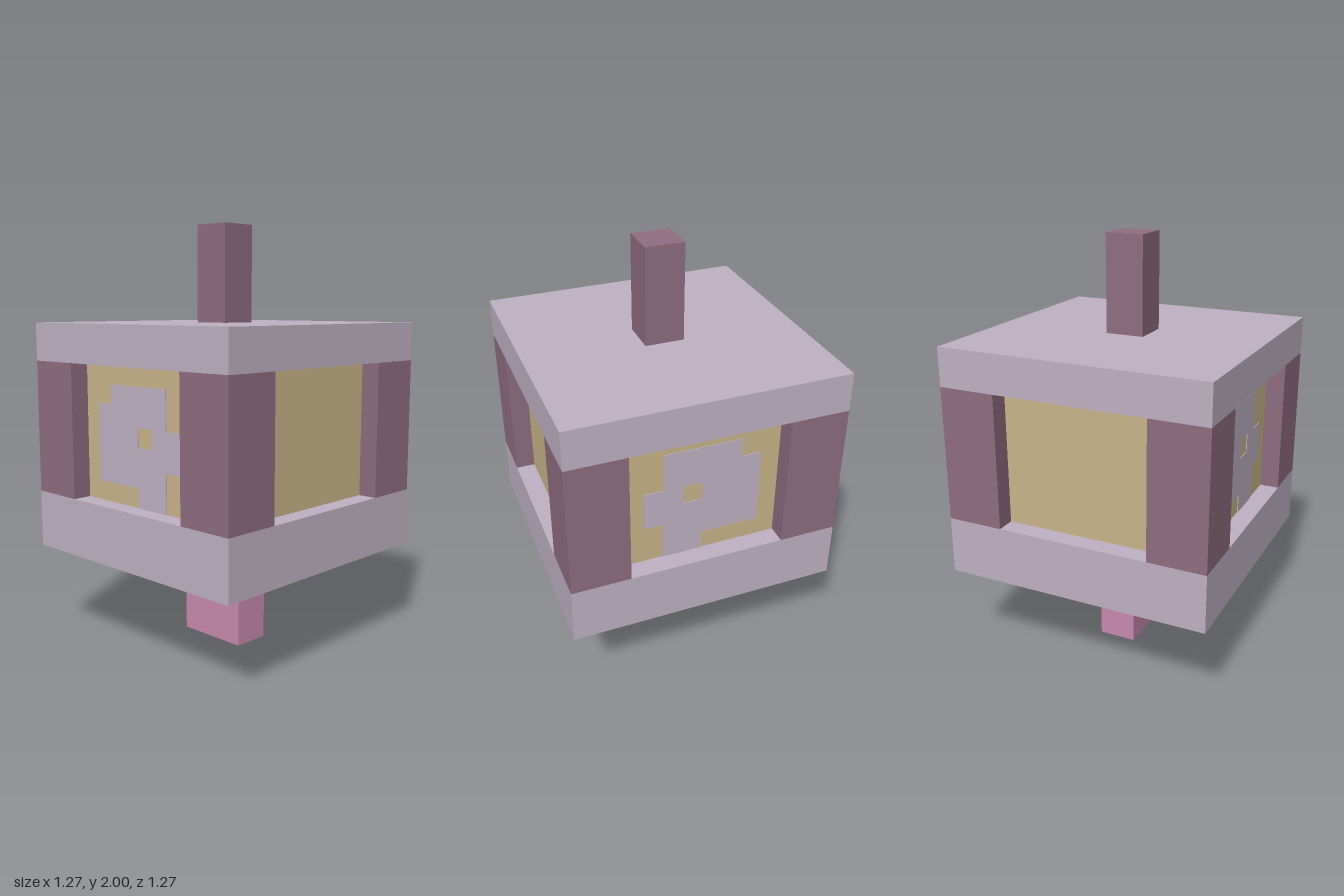
import * as THREE from 'three';

// All sizes below are in blocks: the lantern is 22 blocks tall.
const U = 2 / 22;

const material = (name, color) => {
  const m = new THREE.MeshStandardMaterial({ color });
  m.name = name;
  return m;
};

export function createModel() {
  const lilac = material('pale lilac', 0xbfb1c2);
  const plum = material('dusty plum', 0x8f6d80);
  const pink = material('rose pink', 0xc88aaf);
  const sand = material('warm sand', 0xc9b48a);

  const model = new THREE.Group();
  model.name = 'lantern';

  // Box from its width, depth, bottom and top, centred on (x, z)
  const addBox = (name, mat, w, d, y0, y1, x = 0, z = 0) => {
    const mesh = new THREE.Mesh(new THREE.BoxGeometry(w * U, (y1 - y0) * U, d * U), mat);
    mesh.position.set(x * U, ((y0 + y1) / 2) * U, z * U);
    mesh.name = name;
    model.add(mesh);
  };

  addBox('foot', pink, 4, 2, 0, 5);
  addBox('baseSlab', lilac, 14, 14, 5, 8);
  addBox('recessedPanels', sand, 12, 12, 8, 15);
  addBox('topSlab', lilac, 14, 14, 15, 17);
  addBox('handle', plum, 2, 2, 17, 22);

  // Four corner posts
  for (const sx of [-1, 1]) {
    for (const sz of [-1, 1]) {
      addBox('cornerPost', plum, 3, 3, 8, 15, sx * 5.5, sz * 5.5);
    }
  }

  // Stepped emblem with a square eye, on the front and back panels
  const path = (points) => points.map(([x, y]) => new THREE.Vector2(x * U, y * U));
  const emblem = new THREE.Shape(path([
    [0, 8], [2, 8], [2, 10], [3, 10], [3, 12], [2, 12], [2, 14],
    [-2, 14], [-2, 13], [-3, 13], [-3, 9], [0, 9],
  ]));
  emblem.holes.push(new THREE.Path(path([[0, 11], [0, 12], [1, 12], [1, 11]])));
  const thickness = 0.004;
  const plate = new THREE.ExtrudeGeometry(emblem, { depth: thickness, bevelEnabled: false });
  for (const [name, z] of [['frontEmblem', 6 * U], ['backEmblem', -6 * U - thickness]]) {
    const mesh = new THREE.Mesh(plate, lilac);
    mesh.position.z = z;
    mesh.name = name;
    model.add(mesh);
  }

  return model;
}
